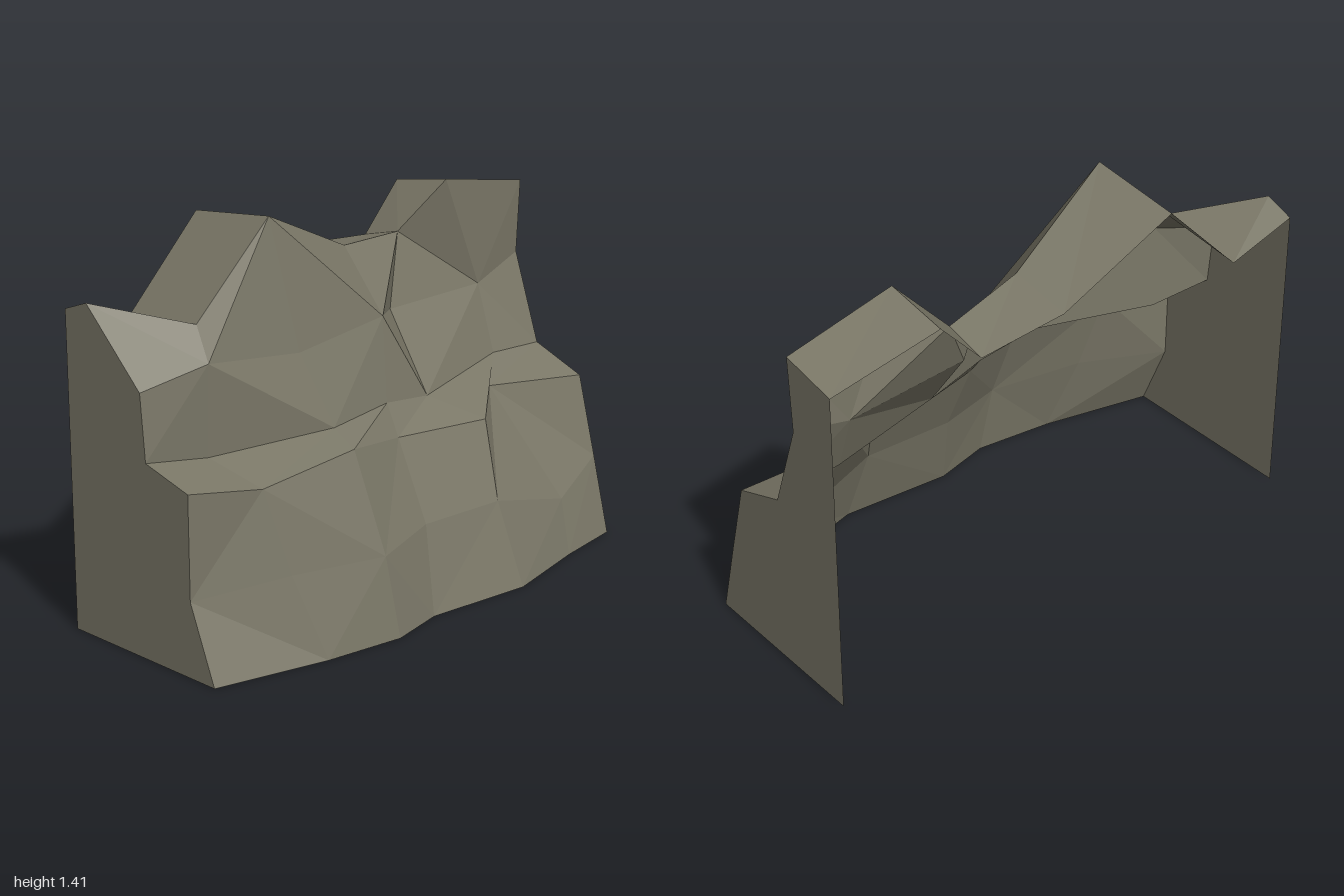
import * as THREE from 'three';

// Cross-sections of the rock face, bottom to top; each holds seven [x, y, z] points
const ROWS = [
  // foot
  [[-1, 0, 0.28], [-0.58, 0, 0.38], [-0.28, 0, 0.42], [-0.06, 0, 0.37], [0.36, 0, 0.41], [0.72, 0, 0.32], [1, 0, 0.27]],
  // lower bulge
  [[-1, 0.27, 0.17], [-0.66, 0.3, 0.29], [-0.3, 0.29, 0.37], [-0.02, 0.31, 0.29], [0.33, 0.31, 0.31], [0.74, 0.2, 0.26], [1, 0.29, 0.195]],
  // ledge lip
  [[-1, 0.64, 0.17], [-0.72, 0.6, 0.22], [-0.33, 0.65, 0.25], [-0.03, 0.6, 0.165], [0.38, 0.58, 0.2], [0.565, 0.63, 0.05], [1, 0.59, 0.115]],
  // back of ledge
  [[-1, 0.695, -0.035], [-0.76, 0.665, 0], [-0.3, 0.69, 0.125], [0, 0.7, 0.08], [0.24, 0.665, 0.045], [0.74, 0.69, -0.09], [1, 0.675, -0.1]],
  // upper bulge
  [[-1, 0.93, -0.055], [-0.76, 0.99, 0.01], [-0.37, 0.95, 0.03], [0.05, 0.99, 0.01], [0.26, 0.94, -0.16], [0.76, 0.935, -0.19], [1, 1.01, -0.215]],
  // crest
  [[-1, 1.18, -0.315], [-0.73, 1.1, -0.08], [-0.42, 1.415, -0.06], [0.05, 1.21, -0.18], [0.4, 1.185, -0.26], [0.565, 1.365, -0.175], [1, 1.29, -0.2]],
];
// Fold of each cell: A rises to the right, B falls to the right
const FOLDS = ['BABAAA', 'ABABAB', 'AAAAAA', 'ABABAB', 'BABABA'];
const BACK = -0.425;

// Strip of folded cells between two rows
function strip(low, high, folds) {
  const out = [];
  for (let i = 0; i < low.length - 1; i++) {
    const a = low[i], b = low[i + 1], c = high[i + 1], d = high[i];
    out.push(...(folds[i] === 'B' ? [a, b, d, b, c, d] : [a, b, c, a, c, d]));
  }
  return out;
}

function facetMesh(name, points, material) {
  const geometry = new THREE.BufferGeometry();
  geometry.setAttribute('position', new THREE.Float32BufferAttribute(points.flat(), 3));
  geometry.computeVertexNormals();
  const mesh = new THREE.Mesh(geometry, material);
  mesh.name = name;
  return mesh;
}

export function createModel() {
  const group = new THREE.Group();
  group.name = 'rockCliff';
  const stone = new THREE.MeshStandardMaterial({ color: 0x7a7767, flatShading: true, side: THREE.DoubleSide });
  stone.name = 'stone';

  // Faceted front, one strip for each level
  const names = ['lowerFoot', 'lowerFace', 'ledge', 'upperFace', 'crestFace'];
  names.forEach((name, r) => group.add(facetMesh(name, strip(ROWS[r], ROWS[r + 1], FOLDS[r]), stone)));

  // Top, sloping slightly down to the back
  const crest = ROWS[5];
  const backEdge = crest.map(([x, y]) => [x, y - 0.04, BACK]);
  group.add(facetMesh('top', strip(crest, backEdge, 'AAAAAA'), stone));

  // Flat side walls; the back and the underside stay open
  for (const [name, column] of [['rightWall', 0], ['leftWall', 6]]) {
    const edge = ROWS.map((row) => row[column]);
    const rear = edge.map(([x, y], i) => [x, i === 5 ? y - 0.04 : y, BACK]);
    const points = column === 0 ? strip(edge, rear, 'AAAAA') : strip(rear, edge, 'AAAAA');
    group.add(facetMesh(name, points, stone));
  }
  return group;
}
